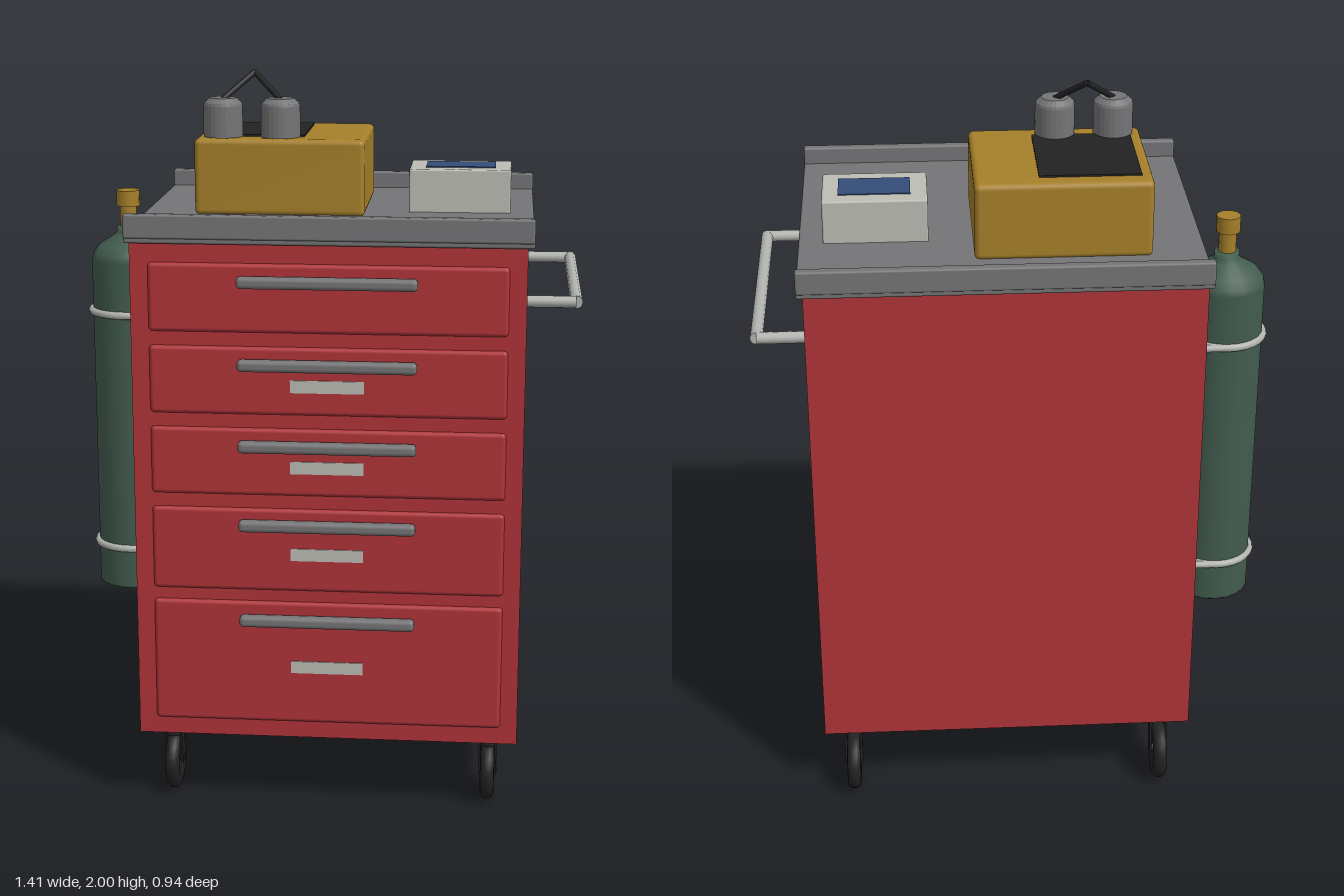
import * as THREE from 'three';
import { RoundedBoxGeometry } from 'three/addons/geometries/RoundedBoxGeometry.js';

const mat = (name, color) => {
  const m = new THREE.MeshStandardMaterial({ color });
  m.name = name;
  return m;
};

export function createModel() {
  const red = mat('red paint', 0xb03438);
  const grey = mat('grey metal', 0x757577);
  const black = mat('black rubber', 0x222222);
  const chrome = mat('light steel', 0xb2b4b0);
  const white = mat('off white', 0xbdbdb6);
  const yellow = mat('ochre', 0xa6802a);
  const green = mat('bottle green', 0x425c4e);
  const blue = mat('screen blue', 0x344d78);

  const root = new THREE.Group();
  root.name = 'toolCart';

  const add = (name, geo, material, x = 0, y = 0, z = 0, parent = root) => {
    const m = new THREE.Mesh(geo, material);
    m.name = name;
    m.position.set(x, y, z);
    parent.add(m);
    return m;
  };
  // Box given by its limits, rounded when r > 0
  const box = (name, material, [x0, x1], [y0, y1], [z0, z1], r = 0, parent = root) => {
    const s = [x1 - x0, y1 - y0, z1 - z0];
    const geo = r ? new RoundedBoxGeometry(...s, 3, r) : new THREE.BoxGeometry(...s);
    return add(name, geo, material, (x0 + x1) / 2, (y0 + y1) / 2, (z0 + z1) / 2, parent);
  };
  // Straight round bar between two points
  const bar = (name, material, a, b, r, parent = root) => {
    const p = new THREE.Vector3(...a), d = new THREE.Vector3(...b).sub(p);
    const m = add(name, new THREE.CylinderGeometry(r, r, d.length(), 12), material, 0, 0, 0, parent);
    m.position.copy(p).addScaledVector(d, 0.5);
    m.quaternion.setFromUnitVectors(new THREE.Vector3(0, 1, 0), d.normalize());
    return m;
  };
  const lathe = (pts, n) => new THREE.LatheGeometry(pts.map(p => new THREE.Vector2(...p)), n);

  // Cabinet and worktop with front and back lips
  box('cabinet', red, [-0.49, 0.553], [0.21, 1.587], [-0.425, 0.425]);
  box('worktop', grey, [-0.503, 0.57], [1.587, 1.617], [-0.44, 0.44], 0.006);
  for (const s of [-1, 1]) {
    box('worktopLip', grey, [-0.503, 0.57], [1.6, 1.664], [s * 0.43 - 0.014, s * 0.43 + 0.014], 0.006);
  }

  // Drawers: bottom, top, handle height, label height
  const drawers = [
    [1.352, 1.537, 1.49, 0],
    [1.13, 1.315, 1.268, 1.21],
    [0.907, 1.093, 1.046, 0.987],
    [0.638, 0.87, 0.826, 0.743],
    [0.257, 0.606, 0.556, 0.42],
  ];
  for (const [y0, y1, handle, label] of drawers) {
    const d = new THREE.Group();
    d.name = 'drawer';
    root.add(d);
    box('drawerFront', red, [-0.442, 0.507], [y0, y1], [0.4, 0.435], 0.012, d);
    box('drawerHandle', grey, [-0.205, 0.27], [handle - 0.016, handle + 0.016], [0.433, 0.466], 0.012, d);
    if (label) box('drawerLabel', white, [-0.066, 0.13], [label - 0.017, label + 0.017], [0.432, 0.438], 0, d);
  }

  // Push handle on the side
  for (const z of [-0.333, 0.333]) {
    bar('pushHandleArm', chrome, [0.54, 1.43, z], [0.682, 1.43, z], 0.016);
  }
  bar('pushHandleBar', chrome, [0.683, 1.43, -0.335], [0.683, 1.43, 0.335], 0.017);

  // Casters: rounded tyre, hub, fork and mounting plate
  const tyre = lathe([[0, -0.014], [0.055, -0.014], [0.062, -0.02], [0.078, -0.018], [0.088, -0.008],
    [0.088, 0.008], [0.078, 0.018], [0.062, 0.02], [0.055, 0.014], [0, 0.014]], 28);
  for (const x of [-0.41, 0.474]) for (const z of [-0.356, 0.338]) {
    const c = new THREE.Group();
    c.name = 'caster';
    c.position.set(x, 0, z);
    root.add(c);
    box('casterPlate', black, [-0.038, 0.038], [0.197, 0.212], [-0.045, 0.045], 0, c);
    add('casterSwivel', new THREE.CylinderGeometry(0.025, 0.025, 0.03, 16), black, 0, 0.187, 0, c);
    add('casterWheel', tyre, black, 0, 0.09, -0.026, c).rotation.z = Math.PI / 2;
    for (const s of [-1, 1]) {
      const fork = box('casterFork', black, [s * 0.022 - 0.003, s * 0.022 + 0.003], [0.08, 0.19], [-0.033, 0.007], 0, c);
      fork.rotation.x = 0.2;
    }
    bar('casterAxle', black, [-0.026, 0.09, -0.026], [0.026, 0.09, -0.026], 0.012, c);
  }

  // Gas bottle with valve, held by two straps
  const bottle = new THREE.Group();
  bottle.name = 'gasBottle';
  bottle.position.set(-0.585, 0, -0.1);
  root.add(bottle);
  add('bottleBody', lathe([[0, 0.483], [0.108, 0.483], [0.108, 0.49], [0.108, 1.45], [0.104, 1.468], [0.088, 1.49],
    [0.045, 1.518], [0.034, 1.53], [0.034, 1.545], [0, 1.545]], 20), green, 0, 0, 0, bottle);
  add('valveStem', new THREE.CylinderGeometry(0.024, 0.024, 0.07, 14), yellow, 0, 1.575, 0, bottle);
  add('valveKnob', new THREE.CylinderGeometry(0.033, 0.033, 0.045, 14), yellow, 0, 1.625, 0, bottle);
  for (const y of [1.302, 0.605]) {
    add('strapRing', new THREE.TorusGeometry(0.11, 0.011, 8, 28), chrome, 0, y, 0, bottle).rotation.x = Math.PI / 2;
    bar('strapArm', chrome, [0, y, -0.11], [0.1, y, -0.11], 0.01, bottle);
  }

  // Machine with dark top panel, two canisters and a bent link
  box('machineCase', yellow, [-0.36, 0.108], [1.612, 1.823], [-0.285, 0.123], 0.016);
  box('machinePanel', black, [-0.33, -0.062], [1.82, 1.828], [-0.237, 0.06]);
  const canister = lathe([[0, 0], [0.054, 0], [0.054, 0.085], [0.052, 0.092], [0.037, 0.105], [0, 0.105]], 24).toNonIndexed();
  canister.computeVertexNormals();
  for (const x of [-0.284, -0.126]) {
    add('canister', canister, grey, x, 1.825, 0.075);
    bar('linkRod', black, [x, 1.925, 0.075], [-0.205, 1.993, 0], 0.008);
  }

  // Small display unit
  box('displayCase', white, [0.225, 0.505], [1.612, 1.735], [-0.158, 0.042], 0.005);
  box('displayScreen', blue, [0.27, 0.462], [1.732, 1.738], [-0.113, -0.003]);

  return root;
}
